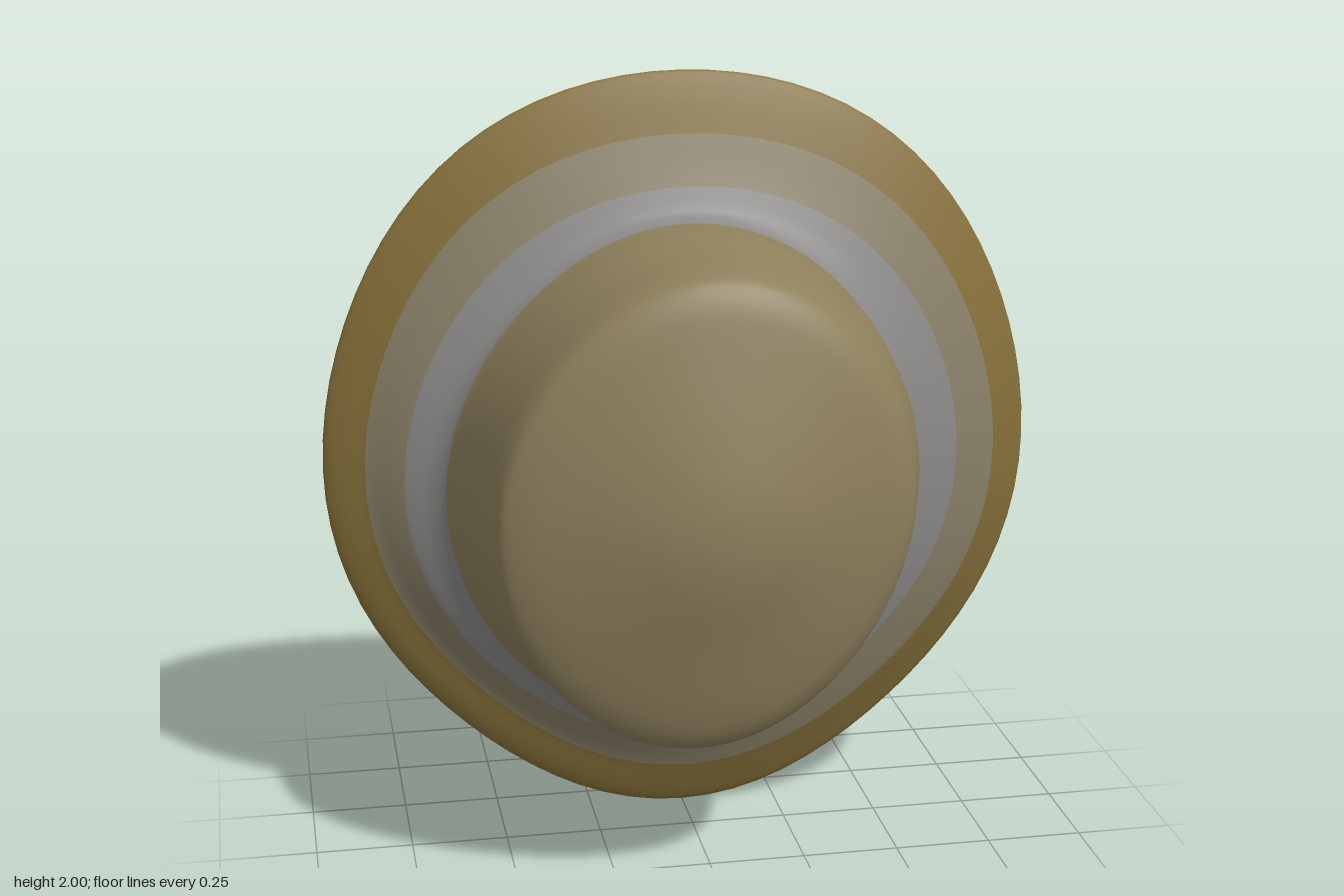
import * as THREE from 'three';

// Cross-sections from the back of the cap to the foot of the stem:
// [z, right x, left x, bottom y, top y]
const CAP = [
  [-0.577, -0.01, -0.01, 1, 1],
  [-0.576, -0.07, 0.05, 0.94, 1.06],
  [-0.571, -0.15, 0.125, 0.87, 1.12],
  [-0.548, -0.25, 0.22, 0.77, 1.22],
  [-0.51, -0.35, 0.305, 0.66, 1.34],
  [-0.46, -0.47, 0.41, 0.535, 1.465],
  [-0.4, -0.62, 0.55, 0.385, 1.61],
  [-0.32, -0.79, 0.73, 0.2, 1.75],
  [-0.24, -0.88, 0.855, 0.09, 1.875],
  [-0.19, -0.92, 0.915, 0.03, 1.96],
];
const RIM = [
  [-0.158, -0.933, 0.93, 0.003, 2],
  [-0.125, -0.887, 0.883, 0.06, 1.94],
];
const OUTER_GILLS = [
  [-0.09, -0.83, 0.83, 0.13, 1.85],
  [-0.065, -0.785, 0.775, 0.185, 1.785],
];
const INNER_GILLS = [
  [-0.04, -0.735, 0.715, 0.24, 1.725],
  [-0.01, -0.675, 0.64, 0.29, 1.665],
];
const STEM = [
  [0.03, -0.635, 0.555, 0.335, 1.645],
  [0.12, -0.605, 0.545, 0.37, 1.64],
  [0.25, -0.58, 0.53, 0.395, 1.62],
  [0.37, -0.56, 0.495, 0.405, 1.605],
  [0.425, -0.54, 0.47, 0.41, 1.585],
  [0.46, -0.48, 0.425, 0.46, 1.53],
  [0.49, -0.4, 0.35, 0.55, 1.43],
  [0.53, -0.28, 0.23, 0.71, 1.28],
  [0.56, -0.17, 0.13, 0.83, 1.15],
  [0.574, -0.08, 0.04, 0.92, 1.06],
  [0.577, -0.02, -0.02, 0.99, 0.99],
];
const SIDES = 80; // vertices around each ring
const STEPS = 5; // rings between two cross-sections

// One smooth skin through all the cross-sections
function buildSkin(rings) {
  const centres = new THREE.CatmullRomCurve3(
    rings.map(([z, x0, x1, y0, y1]) => new THREE.Vector3((x0 + x1) / 2, (y0 + y1) / 2, z)),
    false, 'catmullrom', 0.4);
  const radii = new THREE.CatmullRomCurve3(
    rings.map(([, x0, x1, y0, y1]) => new THREE.Vector3((x1 - x0) / 2, (y1 - y0) / 2, 0)),
    false, 'catmullrom', 0.4);
  const count = (rings.length - 1) * STEPS;
  const positions = [];
  const index = [];
  for (let i = 0; i <= count; i++) {
    const c = centres.getPoint(i / count);
    const r = radii.getPoint(i / count);
    // the cap is egg-shaped, wider above; the stem leans towards one diagonal
    const stem = THREE.MathUtils.smoothstep(c.z, -0.08, 0.03);
    const egg = 0.035 * (1 - stem);
    const lean = 0.03 * stem;
    // shallow hollow behind the curled rim, on the right and lower side
    const hollow = 0.018 * Math.exp(-(((c.z + 0.085) / 0.035) ** 2));
    for (let j = 0; j < SIDES; j++) {
      const a = (j / SIDES) * Math.PI * 2;
      const diagonal = Math.sin(2 * a);
      const k = 1 + (egg * Math.sin(a) - 0.012) * diagonal ** 2 + lean * diagonal;
      positions.push(
        c.x + Math.max(r.x, 0) * k * Math.cos(a),
        c.y + Math.max(r.y, 0) * k * Math.sin(a),
        c.z - hollow * Math.max(0, Math.cos(a - 3.6)));
      if (i === count) continue;
      const n = (j + 1) % SIDES;
      const p = i * SIDES + j, q = i * SIDES + n;
      index.push(p, q, p + SIDES, q, q + SIDES, p + SIDES);
    }
  }
  const skin = new THREE.BufferGeometry();
  skin.setAttribute('position', new THREE.Float32BufferAttribute(positions, 3));
  skin.setIndex(index);
  skin.computeVertexNormals();
  return { skin, index };
}

export function createModel() {
  const group = new THREE.Group();
  group.name = 'mushroom';
  const { skin, index } = buildSkin([...CAP, ...RIM, ...OUTER_GILLS, ...INNER_GILLS, ...STEM]);

  // Cut the skin into coloured parts that share smooth normals
  const parts = [
    ['cap', CAP.length, 0x7e622a],
    ['capRim', RIM.length, 0x86703a],
    ['outerGills', OUTER_GILLS.length, 0x8a8168],
    ['innerGills', INNER_GILLS.length, 0x8c8b8a],
    ['stem', STEM.length - 1, 0x8e805c],
  ];
  let start = 0;
  for (const [name, spans, color] of parts) {
    const length = spans * STEPS * SIDES * 6;
    const geometry = new THREE.BufferGeometry();
    geometry.setAttribute('position', skin.getAttribute('position'));
    geometry.setAttribute('normal', skin.getAttribute('normal'));
    geometry.setIndex(index.slice(start, start + length));
    const mesh = new THREE.Mesh(geometry, new THREE.MeshStandardMaterial({ color }));
    mesh.name = name;
    group.add(mesh);
    start += length;
  }
  return group;
}
